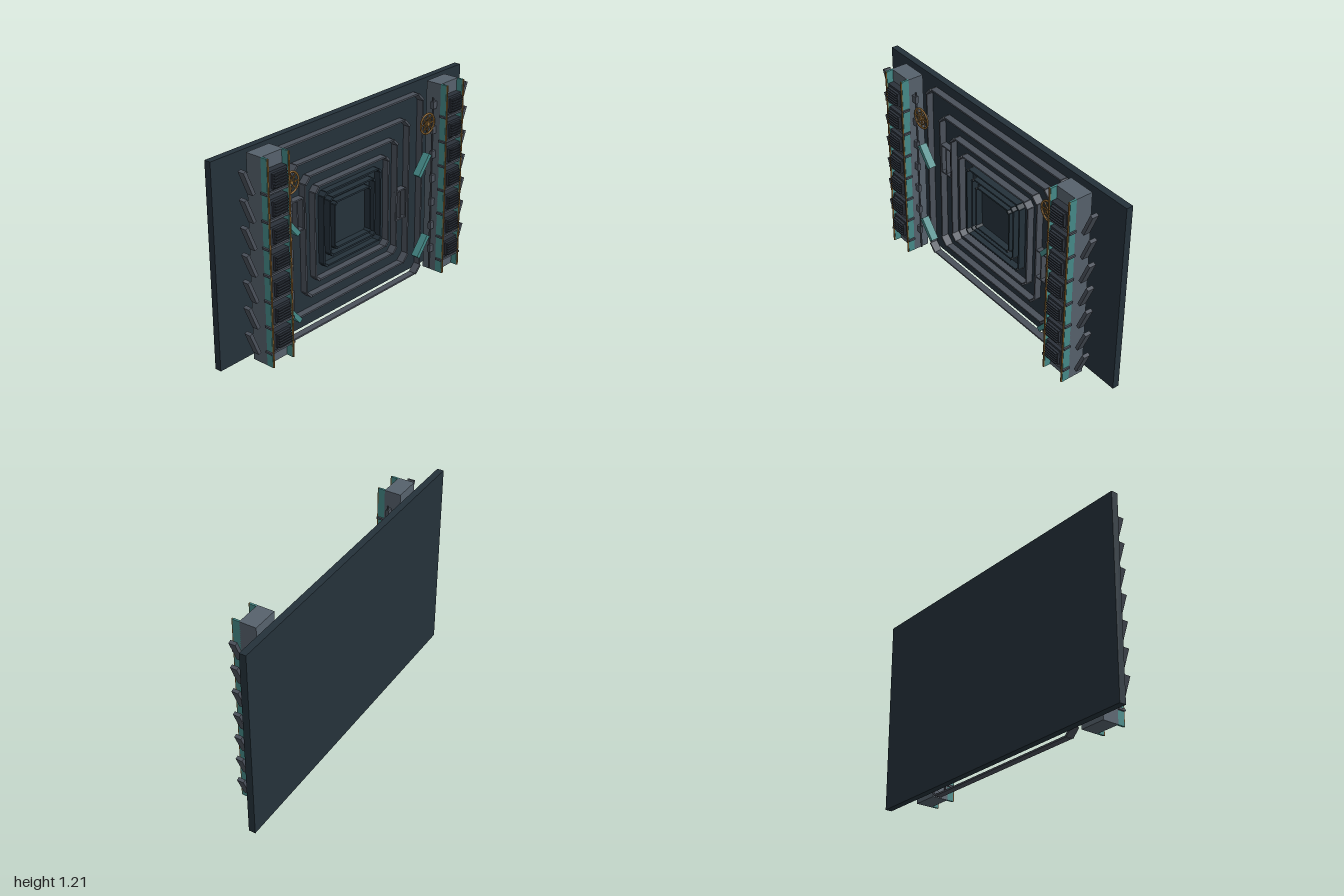
import * as THREE from 'three';

const paint = (name, color) => {
  const m = new THREE.MeshStandardMaterial({ color });
  m.name = name;
  return m;
};

export function createModel() {
  const panelDark = paint('panel dark', 0x24313a);
  const steel = paint('steel grey', 0x56616c);
  const frameGrey = paint('frame grey', 0x4a505a);
  const ventDark = paint('vent dark', 0x2b313a);
  const teal = paint('teal', 0x458a88);
  const bronze = paint('bronze', 0x8a6430);

  const model = new THREE.Group();
  model.name = 'wallPanel';

  const group = (name, parent = model) => {
    const g = new THREE.Group();
    g.name = name;
    parent.add(g);
    return g;
  };
  const add = (parent, name, geo, mat, x, y, z) => {
    const m = new THREE.Mesh(geo, mat);
    m.name = name;
    m.position.set(x, y, z);
    parent.add(m);
    return m;
  };
  // box given by its limits on each axis
  const box = (parent, name, mat, x0, x1, y0, y1, z0, z1) =>
    add(parent, name, new THREE.BoxGeometry(x1 - x0, y1 - y0, z1 - z0), mat,
      (x0 + x1) / 2, (y0 + y1) / 2, (z0 + z1) / 2);
  // bar running between two points of the xy plane
  const bar = (parent, name, mat, a, b, width, z0, z1) => {
    const dx = b[0] - a[0], dy = b[1] - a[1];
    const m = add(parent, name, new THREE.BoxGeometry(Math.hypot(dx, dy), width, z1 - z0), mat,
      (a[0] + b[0]) / 2, (a[1] + b[1]) / 2, (z0 + z1) / 2);
    m.rotation.z = Math.atan2(dy, dx);
    return m;
  };

  // backing slab
  box(model, 'backPanel', panelDark, -1, 1, 0.03, 1.212, -0.12, -0.08);

  // nested frames: four bars joined by slightly prouder diagonal corners
  const ring = (name, mat, hx, y0, y1, c) => {
    const g = group(name);
    const t = 0.01;
    const zBack = -0.081;
    for (const s of [-1, 1]) {
      bar(g, 'sideBar', mat, [s * hx, y0 + c], [s * hx, y1 - c], t, zBack, -0.04);
      for (const [y, d] of [[y0, 1], [y1, -1]]) {
        bar(g, 'cornerBar', mat, [s * hx, y + d * c], [s * (hx - c), y], t + 0.003, zBack, -0.034);
      }
    }
    for (const y of [y0, y1]) bar(g, 'crossBar', mat, [c - hx, y], [hx - c, y], t, zBack, -0.04);
  };
  ring('outerFrame', frameGrey, 0.605, 0.008, 1.15, 0.045);
  ring('secondFrame', frameGrey, 0.485, 0.128, 1.027, 0.045);
  ring('thirdFrame', frameGrey, 0.38, 0.222, 0.934, 0.035);
  ring('fourthFrame', frameGrey, 0.305, 0.296, 0.854, 0.028);
  ring('fifthFrame', panelDark, 0.235, 0.358, 0.8, 0.02);
  ring('sixthFrame', panelDark, 0.185, 0.408, 0.757, 0.016);
  ring('innerFrame', panelDark, 0.148, 0.44, 0.718, 0.012);

  // small rail brackets between the second and third frames
  const bracket = (name, x0, x1, y0, y1) => {
    const g = group(name);
    const t = 0.008;
    for (const x of [x0, x0 + (x1 - x0) * 0.5, x1]) {
      box(g, 'upright', frameGrey, x - t / 2, x + t / 2, y0, y1, -0.081, -0.045);
    }
    for (const y of [y0, y1]) box(g, 'crosspiece', frameGrey, x0, x1, y - t / 2, y + t / 2, -0.081, -0.042);
  };
  bracket('rightBracket', -0.478, -0.392, 0.648, 0.828);
  bracket('leftBracket', 0.378, 0.465, 0.422, 0.602);

  // one equipment column with everything around it; s = side of the panel
  const buildSide = (s, label) => {
    const side = group(label + 'Side');
    const cx = s * 0.716;
    const column = group('column', side);
    box(column, 'columnBody', steel, cx - 0.08, cx + 0.08, 0.03, 1.212, -0.04, 0.06);
    for (const e of [-1, 1]) {
      const x = cx + e * 0.074;
      box(column, 'flange', teal, x - 0.006, x + 0.006, 0.03, 1.212, 0.055, 0.1);
      box(column, 'flangeTrim', bronze, x - 0.004, x + 0.004, 0.03, 1.212, 0.1, 0.106);
    }

    for (let i = 0; i < 7; i++) {
      const y = 0.18 + i * 0.151;
      // vent module with its cooling slats
      const vent = group('ventModule', column);
      box(vent, 'ventHousing', ventDark, cx - 0.063, cx + 0.063, y - 0.053, y + 0.053, 0.055, 0.098);
      box(vent, 'ventCore', ventDark, cx - 0.05, cx + 0.05, y - 0.04, y + 0.04, 0.098, 0.113);
      for (let k = -2; k <= 2; k++) {
        const fy = y + k * 0.016;
        box(vent, 'ventSlat', ventDark, cx - 0.046, cx + 0.046, fy - 0.003, fy + 0.003, 0.113, 0.124);
      }
      // clamp band below each module
      const by = y - 0.064;
      box(column, 'clampBand', frameGrey, cx - 0.068, cx + 0.068, by - 0.006, by + 0.006, 0.06, 0.1);
      for (const e of [-1, 1]) {
        const x = cx + e * 0.085;
        box(column, 'clampEnd', frameGrey, x - 0.005, x + 0.005, by - 0.006, by + 0.006, 0.06, 0.104);
      }
      // slanted outer blade
      bar(side, 'slantedBlade', frameGrey, [s * 0.895, y + 0.074], [s * 0.837, y - 0.064], 0.02, 0.01, 0.05);
      // inner stub
      box(side, 'innerStub', frameGrey, s * 0.621 - 0.016, s * 0.621 + 0.016, y - 0.022, y + 0.022, 0.015, 0.035);
    }

    // slim pipe beside the column
    const pipe = new THREE.CylinderGeometry(0.005, 0.005, 1.08, 8);
    add(side, 'sidePipe', pipe, frameGrey, s * 0.612, 0.59, 0.025);

    // teal levers
    for (const y of [0.79, 0.272]) {
      bar(side, 'lever', teal, [s * 0.595, y], [s * 0.502, y - 0.112], 0.027, -0.015, 0.03);
    }

    // hand wheel
    const wheel = group('handWheel', side);
    wheel.position.set(s * 0.56, 0.99, 0.03);
    add(wheel, 'wheelRim', new THREE.TorusGeometry(0.06, 0.006, 6, 28), bronze, 0, 0, 0);
    add(wheel, 'wheelInnerRing', new THREE.TorusGeometry(0.036, 0.003, 6, 20), bronze, 0, 0, 0);
    const hub = add(wheel, 'wheelHub', new THREE.CylinderGeometry(0.013, 0.013, 0.018, 12), bronze, 0, 0, 0);
    hub.rotation.x = Math.PI / 2;
    for (let k = 0; k < 8; k++) {
      const a = k * Math.PI / 4;
      bar(wheel, 'wheelSpoke', bronze, [0, 0], [0.06 * Math.cos(a), 0.06 * Math.sin(a)], 0.006, -0.003, 0.003);
    }
    const axle = add(wheel, 'wheelAxle', new THREE.CylinderGeometry(0.007, 0.007, 0.04, 8), frameGrey, 0, 0, -0.025);
    axle.rotation.x = Math.PI / 2;
  };
  buildSide(1, 'left');
  buildSide(-1, 'right');

  return model;
}
